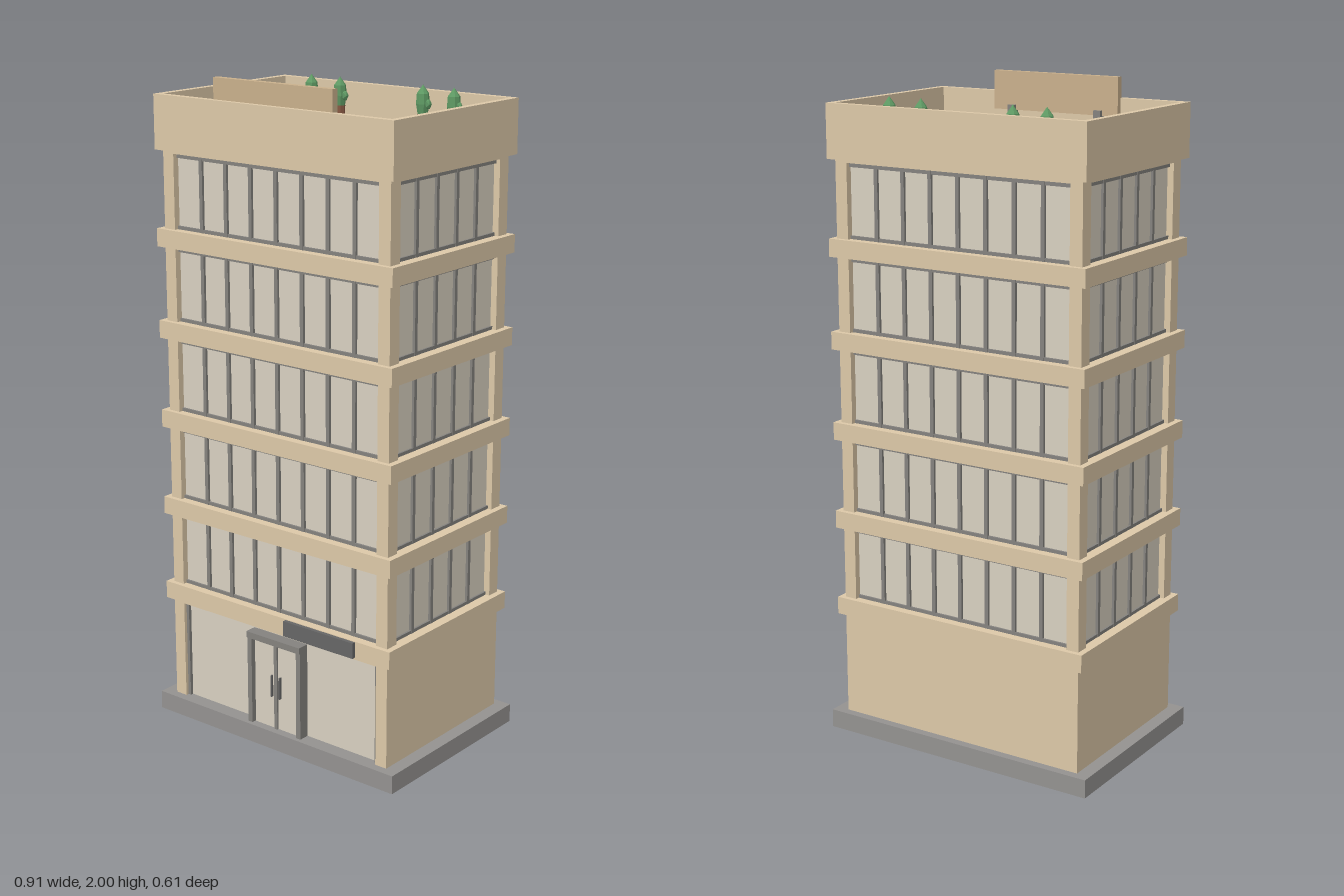
import * as THREE from 'three';

const mat = (color, flat = false) => new THREE.MeshStandardMaterial({ color, flatShading: flat });
const TAN = mat(0xdcc8a8), GREY = mat(0x949290), GLASS = mat(0xd8d0c0), FRAME = mat(0x84827e);
const DARK = mat(0x666666), PANEL = mat(0xc9b08c), POT = mat(0x8a5a44, true), LEAF = mat(0x5f9a64, true);

// Box given by its x, y and z limits
function box(parent, name, m, [x0, x1], [y0, y1], [z0, z1]) {
  const mesh = new THREE.Mesh(new THREE.BoxGeometry(x1 - x0, y1 - y0, z1 - z0), m);
  mesh.position.set((x0 + x1) / 2, (y0 + y1) / 2, (z0 + z1) / 2);
  mesh.name = name;
  parent.add(mesh);
  return mesh;
}

const part = (parent, name) => {
  const g = new THREE.Group();
  g.name = name;
  parent.add(g);
  return g;
};

const W = 0.415, D = 0.278;          // half width and depth of the body
const PX = 0.375, PZ = 0.235;        // inner edges of the corner posts
const GX = 0.395, GZ = 0.258;        // glass planes
const BX = 0.434, BZ = 0.293;        // bands and parapet
const BASE = 0.057, BAND0 = 0.379, STEP = 0.278, BAND_H = 0.054, PARAPET = 1.777, DECK = 1.82;

// Mullions and rails of one glazed storey, on all four sides
function windowFrames(parent, y0, y1) {
  const g = part(parent, 'windowFrames');
  const t = 0.006, out = 0.008;
  for (const s of [-1, 1]) {
    const zs = [s * GZ, s * (GZ + out)].sort((a, b) => a - b);
    const xs = [s * GX, s * (GX + out)].sort((a, b) => a - b);
    for (let i = 1; i < 8; i++) {
      const x = -PX + (i * 2 * PX) / 8;
      box(g, 'mullion', FRAME, [x - t, x + t], [y0, y1], zs);
    }
    for (let i = 1; i < 5; i++) {
      const z = -PZ + (i * 2 * PZ) / 5;
      box(g, 'mullion', FRAME, xs, [y0, y1], [z - t, z + t]);
    }
    for (const [a, b] of [[y0, y0 + 0.01], [y1 - 0.012, y1]]) {
      box(g, 'rail', FRAME, [-PX, PX], [a, b], [zs[0] + 0.001, zs[1] - 0.001]);
      box(g, 'rail', FRAME, [xs[0] + 0.001, xs[1] - 0.001], [a, b], [-PZ, PZ]);
    }
  }
}

// Potted roof plant with a small side shoot
function plant(parent, x, z) {
  const g = part(parent, 'plant');
  const pot = new THREE.Mesh(new THREE.CylinderGeometry(0.016, 0.013, 0.055, 8), POT);
  pot.position.y = 0.0275;
  pot.name = 'pot';
  const profile = [[0, 0.05], [0.015, 0.055], [0.02, 0.085], [0.018, 0.115], [0, 0.14]]
    .map(([r, y]) => new THREE.Vector2(r, y));
  const bush = new THREE.Mesh(new THREE.LatheGeometry(profile, 8), LEAF);
  bush.name = 'bush';
  const shoot = new THREE.Mesh(new THREE.IcosahedronGeometry(0.011, 0), LEAF);
  shoot.position.set(0.019, 0.085, 0);
  shoot.scale.y = 1.5;
  shoot.name = 'shoot';
  g.add(pot, bush, shoot);
  g.position.set(x, DECK, z);
}

export function createModel() {
  const root = new THREE.Group();
  root.name = 'officeBuilding';
  const b = part(root, 'building');
  b.position.z = -0.003;

  box(b, 'basePlinth', GREY, [-0.457, 0.457], [0, BASE], [-0.304, 0.305]);

  // Ground floor: solid back and sides, glazed front
  const ground = part(b, 'groundFloor');
  box(ground, 'walls', TAN, [-W, W], [BASE, BAND0], [-D, 0.25]);
  box(ground, 'shopGlass', GLASS, [-PX, PX], [BASE, 0.368], [0.25, GZ]);
  box(ground, 'lintel', TAN, [-PX, PX], [0.368, BAND0], [0.25, D]);
  for (const s of [-1, 1]) {
    const xs = [s * PX, s * W].sort((p, q) => p - q);
    box(ground, 'frontPost', TAN, xs, [BASE, BAND0], [0.25, D]);
    box(ground, 'glassFrame', FRAME, [s * 0.37 - 0.005, s * 0.37 + 0.005], [BASE, 0.368], [0.255, 0.268]);
  }

  // Entrance with two leaves
  const door = part(b, 'entrance');
  for (const s of [-1, 1]) {
    box(door, 'jamb', FRAME, [s * 0.095 - 0.008, s * 0.095 + 0.008], [BASE, 0.34], [GZ, 0.292]);
    box(door, 'doorLeaf', GLASS, [s * 0.045 - 0.04, s * 0.045 + 0.04], [BASE, 0.33], [GZ, 0.278]);
    box(door, 'handle', DARK, [s * 0.016 - 0.002, s * 0.016 + 0.002], [0.16, 0.23], [0.278, 0.286]);
  }
  box(door, 'centreStile', FRAME, [-0.006, 0.006], [BASE, 0.33], [GZ, 0.284]);
  box(door, 'header', FRAME, [-0.103, 0.103], [0.335, 0.355], [GZ, 0.296]);

  // Upper storeys
  const upper = part(b, 'upperStoreys');
  box(upper, 'glassCore', GLASS, [-GX, GX], [BAND0, PARAPET], [-GZ, GZ]);
  for (const sx of [-1, 1]) for (const sz of [-1, 1]) {
    const xs = [sx * PX, sx * W].sort((p, q) => p - q);
    const zs = [sz * PZ, sz * D].sort((p, q) => p - q);
    box(upper, 'cornerPost', TAN, xs, [BAND0, PARAPET], zs);
  }
  for (let i = 0; i < 5; i++) {
    const y = BAND0 + i * STEP;
    box(upper, 'floorBand', TAN, [-BX, BX], [y, y + BAND_H], [-BZ, BZ]);
    windowFrames(upper, y + BAND_H, y + STEP - 0.002);
  }
  box(upper, 'topSoffit', TAN, [-W, W], [PARAPET - 0.009, PARAPET + 0.01], [-D, D]);

  // Parapet ring and roof deck
  const rect = (S, x, z) => new S([[-x, -z], [x, -z], [x, z], [-x, z]].map(p => new THREE.Vector2(...p)));
  const ring = rect(THREE.Shape, BX, BZ);
  ring.holes.push(rect(THREE.Path, 0.413, 0.272));
  const parapet = new THREE.Mesh(
    new THREE.ExtrudeGeometry(ring, { depth: 1.938 - PARAPET, bevelEnabled: false }), TAN);
  parapet.rotation.x = -Math.PI / 2;
  parapet.position.y = PARAPET;
  parapet.name = 'parapet';
  b.add(parapet);
  box(b, 'roofDeck', GREY, [-0.414, 0.414], [PARAPET, DECK], [-0.273, 0.273]);

  // Blank signs: one on legs on the roof, one over the entrance
  const sign = part(b, 'roofSign');
  box(sign, 'panel', PANEL, [-0.215, 0.215], [1.885, 2], [0.256, 0.277]);
  for (const s of [-1, 1])
    box(sign, 'leg', FRAME, [s * 0.15 - 0.012, s * 0.15 + 0.012], [DECK, 1.9], [0.246, 0.268]);
  box(b, 'wallSign', DARK, [0.05, 0.31], [0.383, 0.431], [BZ - 0.002, 0.305]);

  for (const x of [-0.265, -0.155, 0.152, 0.262]) plant(b, x, -0.219);
  return root;
}
